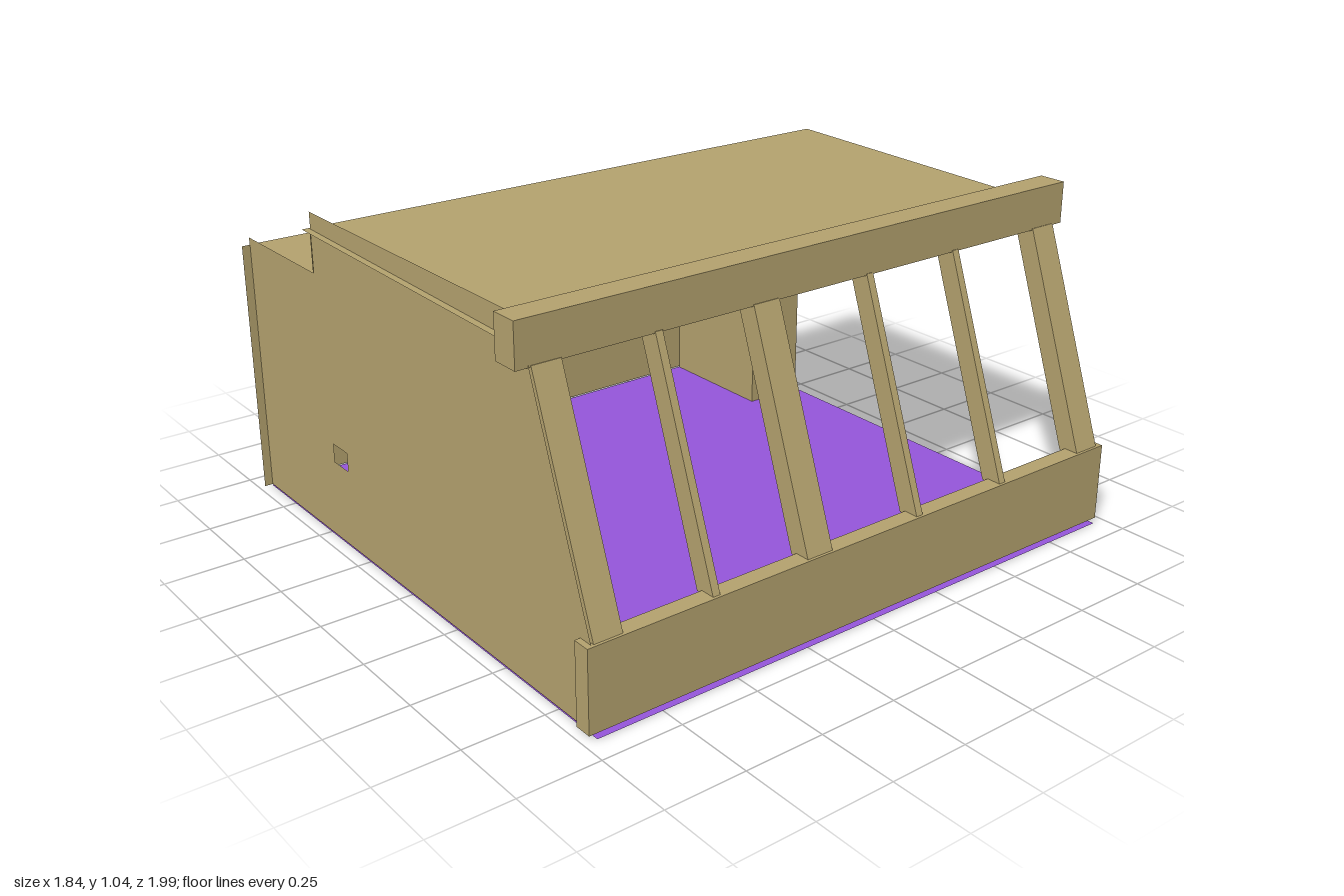
import * as THREE from 'three';

const tan = new THREE.MeshStandardMaterial({ color: 0xb5a36f, side: THREE.DoubleSide, flatShading: true });
const purple = new THREE.MeshStandardMaterial({ color: 0x9656dc, side: THREE.DoubleSide, flatShading: true });

export function createModel() {
  const model = new THREE.Group();

  const add = (name, geometry, material = tan) => {
    const mesh = new THREE.Mesh(geometry, material);
    mesh.name = name;
    model.add(mesh);
    return mesh;
  };

  // Solid block given by its extents
  const block = (name, x0, x1, y0, y1, z0, z1) =>
    add(name, new THREE.BoxGeometry(x1 - x0, y1 - y0, z1 - z0))
      .position.set((x0 + x1) / 2, (y0 + y1) / 2, (z0 + z1) / 2);

  // Thin panel from four corners, counter-clockwise from outside
  const panel = (name, corners, material) => {
    const g = new THREE.BufferGeometry();
    g.setAttribute('position', new THREE.Float32BufferAttribute(corners.flat(), 3));
    g.setIndex([0, 1, 2, 0, 2, 3]);
    g.computeVertexNormals();
    return add(name, g, material);
  };
  const level = (name, x0, x1, y0, y1, z0, z1, material) =>
    panel(name, [[x0, y0, z0], [x0, y0, z1], [x1, y1, z1], [x1, y1, z0]], material);
  const sideWall = (name, x, y0, y1, z0, z1) =>
    panel(name, [[x, y0, z0], [x, y0, z1], [x, y1, z1], [x, y1, z0]]);

  const polygon = (points) => new THREE.Shape(points.map(([x, y]) => new THREE.Vector2(x, y)));

  const edge = 0.957;      // half depth of the room
  const alcoveX = -0.485;  // where the room meets the alcove
  const alcoveBack = -0.745;
  const alcoveTop = 0.83;

  // Floor
  level('floor', -0.92, 0.92, 0, 0, -edge, edge, purple);

  // Stepped front wall with a small opening
  const front = polygon([[-0.92, 0.005], [0.87, 0.005], [0.9, 0.26], [0.66, 0.92], [0.62, 1.04],
    [-0.48, 1.04], [-0.48, 0.853], [-0.92, 0.853]]);
  front.holes.push(polygon([[-0.44, 0.26], [-0.44, 0.32], [-0.355, 0.32], [-0.355, 0.26]]));
  add('frontWall', new THREE.ShapeGeometry(front)).position.z = edge;

  // Alcove on the right-hand side of the room
  sideWall('alcoveSideWall', -0.917, 0.005, alcoveTop, alcoveBack - 0.01, 0.984);
  level('alcoveRoof', -0.92, alcoveX, alcoveTop, alcoveTop, alcoveBack, edge);
  panel('alcoveBackWall', [[alcoveX, 0, alcoveBack], [-0.917, 0, alcoveBack],
    [-0.917, alcoveTop, alcoveBack], [alcoveX, alcoveTop, alcoveBack]]);

  // Wall between room and alcove: full-height strip and header over the opening
  sideWall('alcovePier', alcoveX, 0, 0.985, -edge, alcoveBack);
  sideWall('alcoveHeader', alcoveX, alcoveTop, 0.985, alcoveBack, edge);

  // Main roof
  level('roof', -0.49, 0.6, 0.988, 0.968, -0.984, 0.979);

  // Window wall: top beam, sill and sloping bars
  block('topBeam', 0.57, 0.658, 0.915, 1.045, -0.995, 0.995);
  block('sill', 0.855, 0.91, 0.01, 0.26, -0.975, 0.975);

  const barProfile = polygon([[0.592, 0.92], [0.835, 0.25], [0.905, 0.25], [0.66, 0.92]]);
  const bar = (name, z, width) => {
    const g = new THREE.ExtrudeGeometry(barProfile, { depth: width, bevelEnabled: false });
    add(name, g).position.z = z - width / 2;
  };
  for (const z of [-0.91, 0.198, 0.905]) bar('windowPost', z, 0.09);
  for (const z of [-0.528, -0.183, 0.56]) bar('windowMullion', z, 0.024);

  return model;
}
